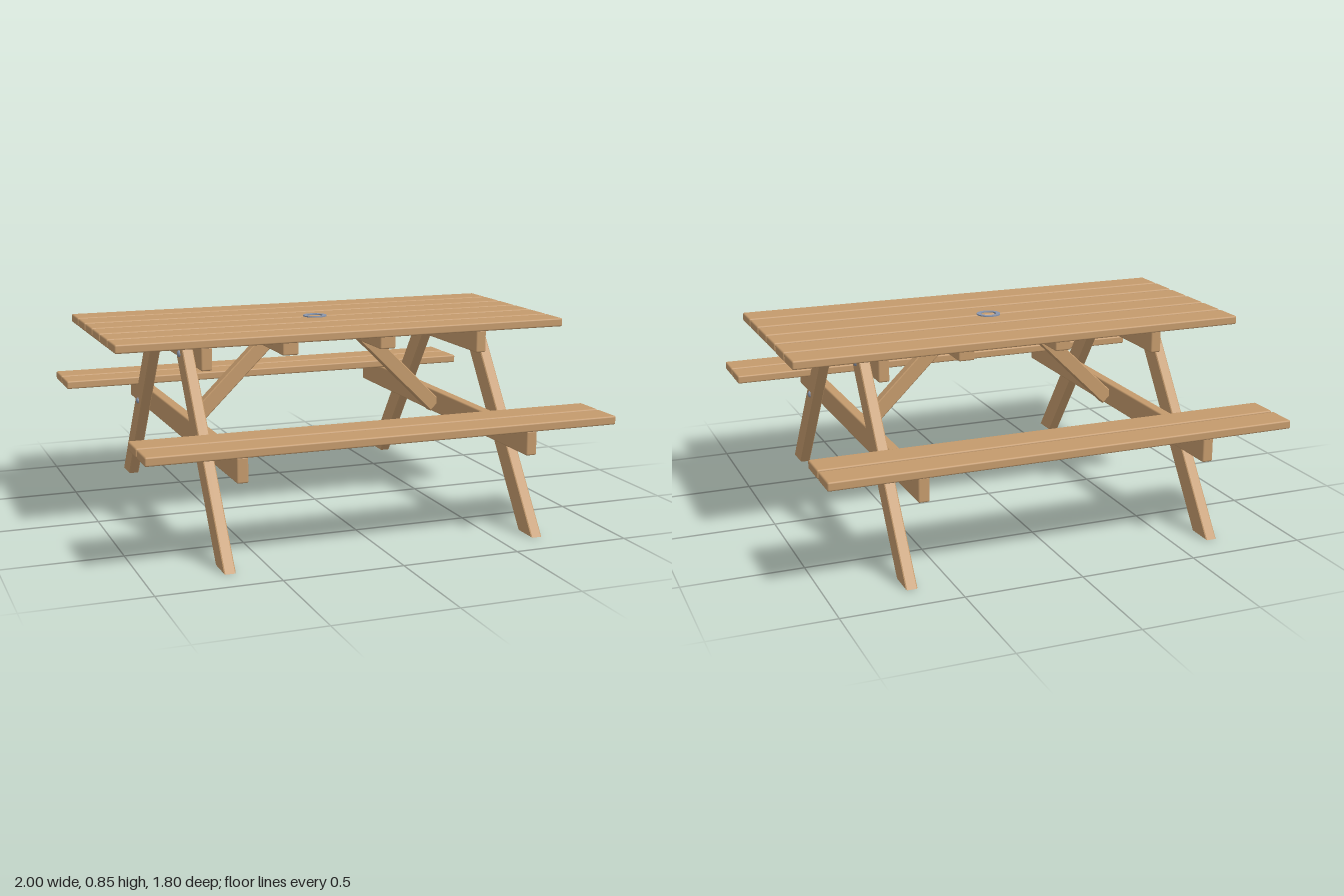
import * as THREE from 'three';
import { RoundedBoxGeometry } from 'three/addons/geometries/RoundedBoxGeometry.js';

const wood = new THREE.MeshStandardMaterial({ color: 0xc49a6c });
wood.name = 'wood';
const steel = new THREE.MeshStandardMaterial({ color: 0x8a96ac });
steel.name = 'steel';

export function createModel() {
  const model = new THREE.Group();
  model.name = 'picnicTable';

  function add(name, geometry, material, x = 0, y = 0, z = 0) {
    const mesh = new THREE.Mesh(geometry, material);
    mesh.name = name;
    mesh.position.set(x, y, z);
    model.add(mesh);
    return mesh;
  }

  // Timber with softened edges, given by its size and the height of its underside
  function timber(name, w, h, d, x, bottom, z) {
    add(name, new RoundedBoxGeometry(w, h, d, 2, 0.007), wood, x, bottom + h / 2, z);
  }

  // Timber cut to an outline, with a small bevel, centred on its thickness
  function cutTimber(points, thickness) {
    const bevel = 0.004;
    const shape = new THREE.Shape(points.map(([a, b]) => new THREE.Vector2(a, b)));
    const geometry = new THREE.ExtrudeGeometry(shape, {
      depth: thickness - 2 * bevel, bevelThickness: bevel,
      bevelSize: bevel, bevelOffset: -bevel, bevelSegments: 1,
    });
    return geometry.translate(0, 0, bevel - thickness / 2);
  }

  // Outlines: leg in (z, y), brace in (x, y)
  const legOutline = [
    [0.86, 0], [0.297, 0.785], [0.272, 0.806], [0.225, 0.8],
    [0.192, 0.77], [0.744, 0],
  ];
  const braceOutline = [
    [0.2, 0.732], [0.565, 0.375], [0.595, 0.405], [0.595, 0.438],
    [0.258, 0.768], [0.225, 0.77],
  ];
  const mirrored = (points, s) => points.map(([a, b]) => [a * s, b]);

  // Table top and bench planks
  for (const s of [-1, 1]) {
    for (const z of [0.074, 0.225, 0.373]) {
      timber('tablePlank', 2, 0.037, 0.133, 0, 0.808, s * z);
    }
    for (const z of [0.687, 0.833]) {
      timber('benchPlank', 2, 0.037, 0.131, 0, 0.464, s * z);
    }
  }

  for (const side of [-1, 1]) {
    // Cross beams under the top and the benches
    timber('topBeam', 0.047, 0.098, 0.82, side * 0.618, 0.71, 0);
    timber('benchBeam', 0.047, 0.103, 1.76, side * 0.618, 0.361, 0);

    // Middle batten and the diagonal brace that meets it
    timber('middleBatten', 0.072, 0.075, 0.62, side * 0.222, 0.733, 0);
    add('brace', cutTimber(mirrored(braceOutline, side), 0.05), wood);

    // Splayed legs with two domed bolts each
    for (const end of [-1, 1]) {
      const leg = cutTimber(mirrored(legOutline, end), 0.047).rotateY(-Math.PI / 2);
      add('leg', leg, wood, side * 0.667);
      for (const [z, y] of [[0.256, 0.761], [0.51, 0.411]]) {
        const bolt = new THREE.SphereGeometry(0.015, 16, 6, 0, Math.PI * 2, 0, Math.PI / 2);
        bolt.scale(1, 0.7, 1).rotateZ(-side * Math.PI / 2);
        add('bolt', bolt, steel, side * 0.69, y, end * z);
      }
    }
  }

  // Parasol sleeve: flange on the table top and a tube through it
  const sleeve = [
    [0.034, 0.803], [0.038, 0.803], [0.038, 0.845], [0.052, 0.845],
    [0.052, 0.85], [0.034, 0.85], [0.034, 0.803],
  ].map(([r, y]) => new THREE.Vector2(r, y));
  const sleeveGeometry = new THREE.LatheGeometry(sleeve, 32).toNonIndexed();
  sleeveGeometry.computeVertexNormals();
  add('parasolSleeve', sleeveGeometry, steel);

  return model;
}
